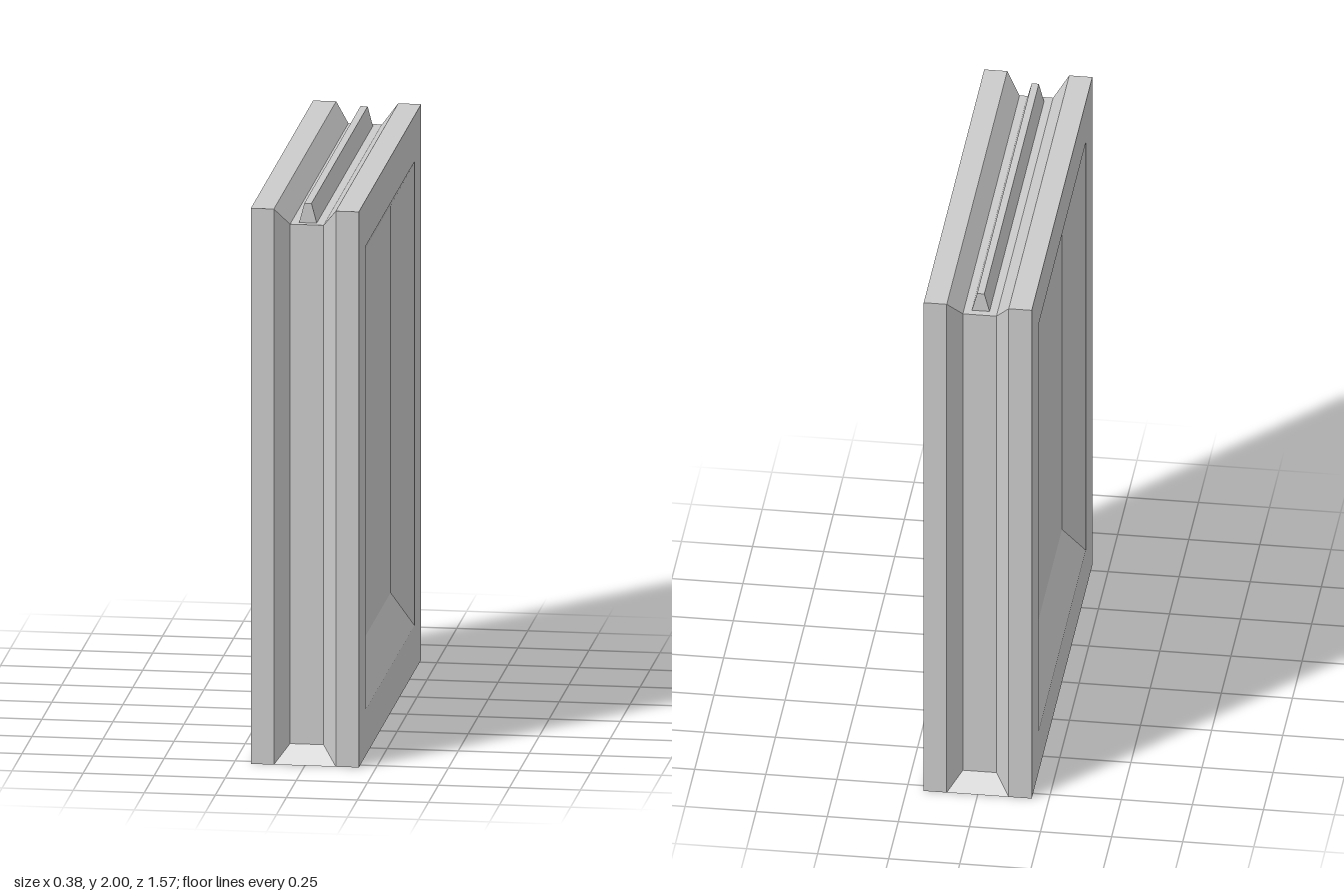
import * as THREE from 'three';

const H = 1.995, HALF_X = 0.19, HALF_Z = 0.785;
const material = new THREE.MeshStandardMaterial({ color: 0xcccccc, flatShading: true, side: THREE.DoubleSide });

// Mesh from four-cornered faces, corners counter-clockwise seen from outside
function quadMesh(name, quads) {
  const pos = [];
  for (const [a, b, c, d] of quads) pos.push(...a, ...b, ...c, ...a, ...c, ...d);
  const g = new THREE.BufferGeometry();
  g.setAttribute('position', new THREE.Float32BufferAttribute(pos, 3));
  g.computeVertexNormals();
  const mesh = new THREE.Mesh(g, material);
  mesh.name = name;
  return mesh;
}

// Corners of an upright rectangle in the plane x
const rect = (x, z, y0, y1) => [[x, y0, z], [x, y0, -z], [x, y1, -z], [x, y1, z]];

// Side face: flat rim, bevel and sunken centre
function panel(name) {
  const loops = [
    rect(HALF_X, HALF_Z, 0, H),
    rect(HALF_X, 0.615, 0.165, 1.83),
    rect(HALF_X - 0.07, 0.515, 0.305, 1.695),
  ];
  const quads = [loops[2]];
  for (let l = 0; l < 2; l++) {
    for (let i = 0; i < 4; i++) {
      const j = (i + 1) % 4;
      quads.push([loops[l][i], loops[l][j], loops[l + 1][j], loops[l + 1][i]]);
    }
  }
  return quadMesh(name, quads);
}

// Grooved edge running up the front, over the top and down the back; open below
function edgeChannel() {
  const outer = x => [[x, 0, HALF_Z], [x, H, HALF_Z], [x, H, -HALF_Z], [x, 0, -HALF_Z]];
  const inner = x => [[x, 0.065, 0.735], [x, 1.93, 0.735], [x, 1.93, -0.735], [x, 0.065, -0.735]];
  const lines = [outer(-HALF_X), outer(-0.109), inner(-0.059), inner(0.059), outer(0.109), outer(HALF_X)];
  const quads = [];
  for (let l = 0; l < lines.length - 1; l++) {
    for (let i = 0; i < 3; i++) {
      quads.push([lines[l][i], lines[l + 1][i], lines[l + 1][i + 1], lines[l][i + 1]]);
    }
  }
  // Sloped sills closing the lower ends of the groove
  quads.push([lines[1][0], lines[4][0], lines[3][0], lines[2][0]]);
  quads.push([lines[4][3], lines[1][3], lines[2][3], lines[3][3]]);
  return quadMesh('edgeChannel', quads);
}

// Tapered rail standing in the top groove
function topRail() {
  const shape = new THREE.Shape([[-0.031, 1.93], [0.031, 1.93], [0.0125, 2], [-0.0125, 2]]
    .map(p => new THREE.Vector2(...p)));
  const g = new THREE.ExtrudeGeometry(shape, { depth: 1.414, bevelEnabled: false });
  g.translate(0, 0, -0.707);
  const mesh = new THREE.Mesh(g, material);
  mesh.name = 'topRail';
  return mesh;
}

export function createModel() {
  const model = new THREE.Group();
  model.name = 'panelBlock';
  const right = panel('rightPanel');
  right.rotation.y = Math.PI;
  model.add(panel('leftPanel'), right, edgeChannel(), topRail());
  return model;
}
